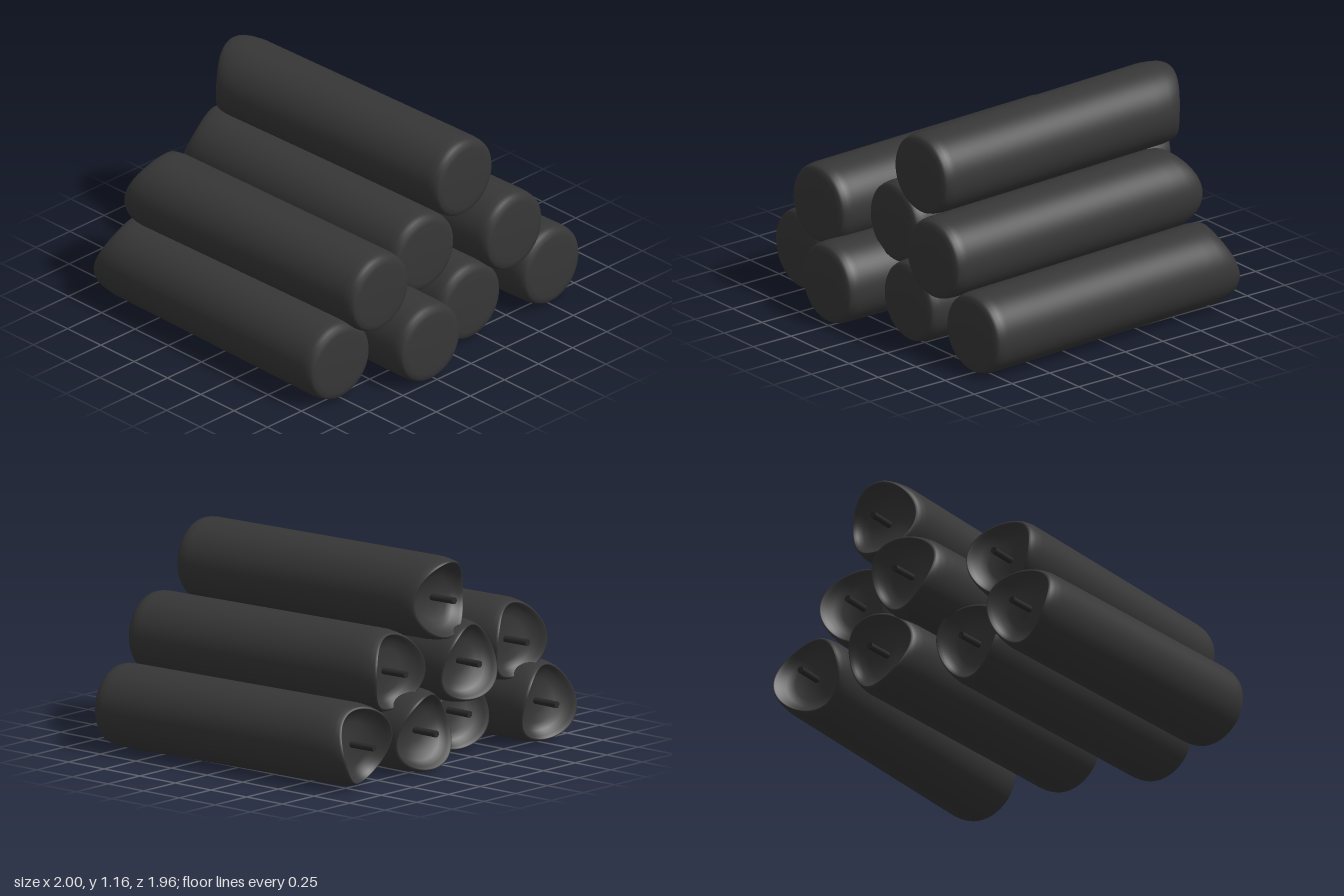
import * as THREE from 'three';
import { mergeVertices } from 'three/addons/utils/BufferGeometryUtils.js';

const LENGTH = 1.69, R = 0.222, NOTCH = 0.075;
const bodyMaterial = new THREE.MeshStandardMaterial({ color: 0x373737 });
const rodMaterial = new THREE.MeshStandardMaterial({ color: 0x2a2a2a });

// Tube body along +y: dished, saddle-shaped open end at y = 0, softly rounded far end.
function bodyGeometry() {
  const profile = [
    [0, 0.12], [0.06, 0.115], [0.12, 0.095], [0.16, 0.065], [0.185, 0.025], [0.196, 0.003],
    [0.202, 0], [0.209, 0.012], [0.216, 0.045], [R, 0.1], [R, 0.2], [R, 0.35],
    [R, LENGTH - 0.3], [R, LENGTH - 0.08], [0.219, LENGTH - 0.045], [0.212, LENGTH - 0.02],
    [0.2, LENGTH - 0.007], [0.17, LENGTH - 0.002], [0.1, LENGTH], [0, LENGTH],
  ].map(([r, y]) => new THREE.Vector2(r, y));
  const lathe = new THREE.LatheGeometry(profile, 64);
  lathe.deleteAttribute('uv');
  lathe.deleteAttribute('normal');
  const geometry = mergeVertices(lathe, 1e-5);
  const p = geometry.attributes.position;
  for (let i = 0; i < p.count; i++) {
    const x = p.getX(i), y = p.getY(i), z = p.getZ(i);
    const r = Math.hypot(x, z);
    if (y > 0.4 || r < 1e-4) continue;
    // Push the rim in on two opposite sides, fading along the wall and the dish.
    const side = (x / r) ** 2;
    const fade = r < 0.2 ? (r / 0.2) ** 2 : Math.max(0, 1 - y / 0.35);
    p.setY(i, y + NOTCH * side * fade);
  }
  geometry.computeVertexNormals();
  return geometry;
}

// Each log: open end [x, y, z], far end [x, y, z], roll in degrees.
const logs = [
  // bottom row
  [[-0.88, 0.222, 0.735], [0.81, 0.222, 0.763], 25],
  [[-0.69, 0.222, 0.26], [1.0, 0.222, 0.285], 30],
  [[-0.87, 0.222, -0.205], [0.82, 0.222, -0.185], 60],
  [[-0.85, 0.222, -0.675], [0.83, 0.222, -0.762], -20],
  // middle row
  [[-0.82, 0.575, 0.57], [0.87, 0.562, 0.525], 10],
  [[-0.965, 0.572, 0.03], [0.715, 0.57, 0.06], 45],
  [[-0.82, 0.565, -0.39], [0.855, 0.556, -0.457], 5],
  // top
  [[-0.935, 0.937, -0.137], [0.75, 0.928, -0.205], 90],
];

export function createModel() {
  const model = new THREE.Group();
  model.name = 'logPile';
  const body = bodyGeometry();
  const rod = new THREE.CylinderGeometry(0.018, 0.018, 0.18, 16);
  const up = new THREE.Vector3(0, 1, 0);

  logs.forEach(([open, far, roll], i) => {
    const log = new THREE.Group();
    log.name = `log${i + 1}`;
    const start = new THREE.Vector3(...open);
    const direction = new THREE.Vector3(...far).sub(start).normalize();
    log.position.copy(start);
    log.quaternion.setFromUnitVectors(up, direction);
    log.rotateY(THREE.MathUtils.degToRad(roll));

    const shell = new THREE.Mesh(body, bodyMaterial);
    shell.name = 'logBody';
    // Thin rod standing out of the dished end
    const stem = new THREE.Mesh(rod, rodMaterial);
    stem.name = 'centreRod';
    stem.position.y = 0.055;
    log.add(shell, stem);
    model.add(log);
  });
  return model;
}
